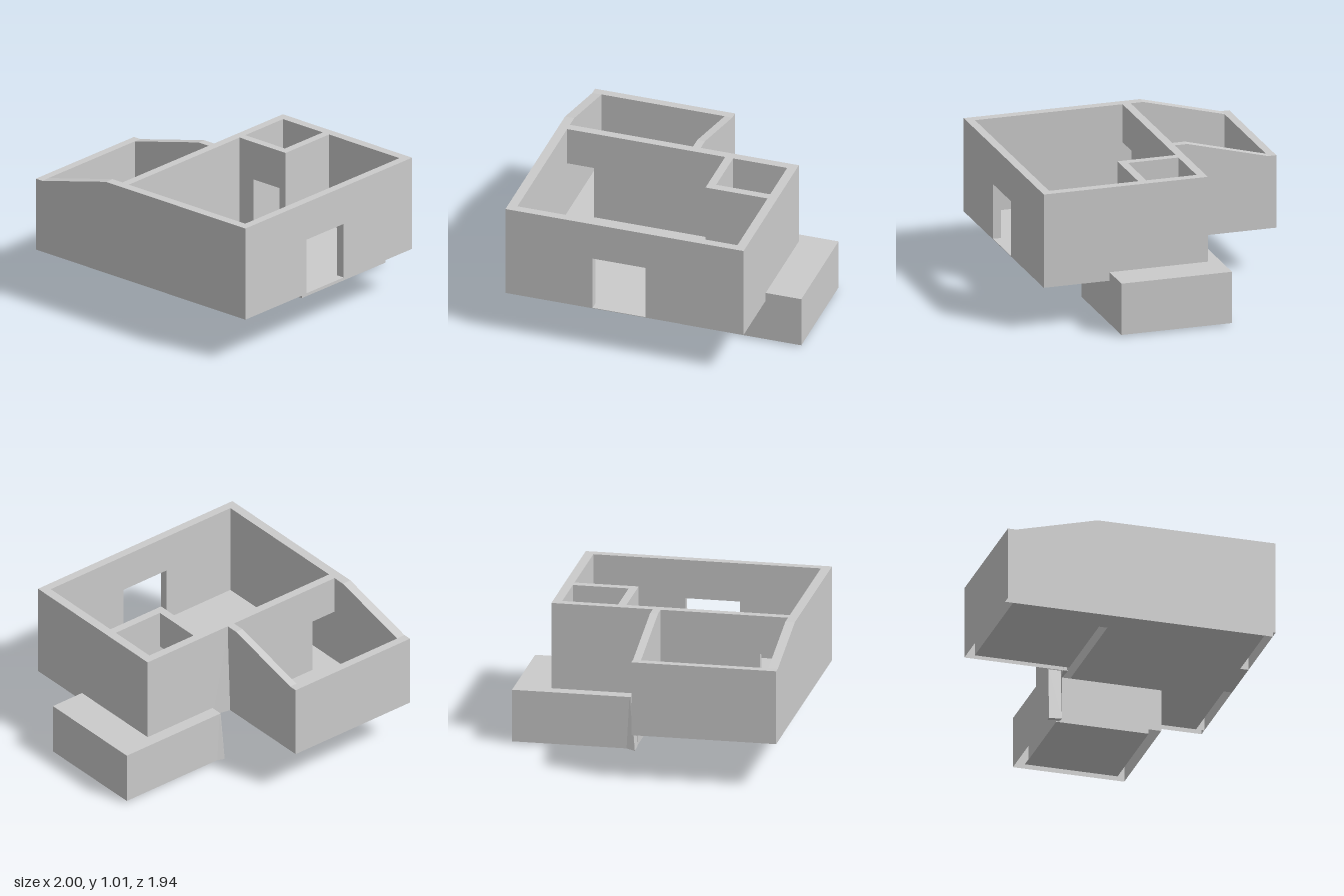
import * as THREE from 'three';
import { ConvexGeometry } from 'three/addons/geometries/ConvexGeometry.js';

const material = new THREE.MeshStandardMaterial({ color: 0xcccccc, flatShading: true, side: THREE.DoubleSide });

// Removes the underside, leaving a hollow wall that is open below
function openBottom(geometry) {
  const source = geometry.index ? geometry.toNonIndexed() : geometry;
  source.computeBoundingBox();
  const limit = source.boundingBox.min.y + 1e-4;
  const p = source.attributes.position;
  const kept = [];
  for (let i = 0; i < p.count; i += 3) {
    if (Math.max(p.getY(i), p.getY(i + 1), p.getY(i + 2)) < limit) continue;
    for (let k = i; k < i + 3; k++) kept.push(p.getX(k), p.getY(k), p.getZ(k));
  }
  const open = new THREE.BufferGeometry();
  open.setAttribute('position', new THREE.Float32BufferAttribute(kept, 3));
  open.computeVertexNormals();
  return open;
}

const extrude = (points, depth, holes = []) => {
  const toVectors = (list) => list.map(([a, b]) => new THREE.Vector2(a, b));
  const shape = new THREE.Shape(toVectors(points));
  holes.forEach((hole) => shape.holes.push(new THREE.Path(toVectors(hole))));
  return new THREE.ExtrudeGeometry(shape, { depth, bevelEnabled: false });
};
// Box given by its limits
const box = (x0, x1, y0, y1, z0, z1) => new THREE.BoxGeometry(x1 - x0, y1 - y0, z1 - z0)
  .translate((x0 + x1) / 2, (y0 + y1) / 2, (z0 + z1) / 2);
// Plan outline of [x, z] points, raised from y0 to y1
const plan = (points, y0, y1, holes = []) => {
  const flip = (list) => list.map(([x, z]) => [x, -z]);
  return extrude(flip(points), y1 - y0, holes.map(flip)).rotateX(-Math.PI / 2).translate(0, y0, 0);
};
// Elevation of [x, y] points, running from z0 to z1
const acrossZ = (points, z0, z1) => extrude(points, z1 - z0).translate(0, 0, z0);
// Side elevation of [z, y] points, running from x0 to x1
const acrossX = (points, x0, x1) =>
  extrude(points.map(([z, y]) => [-z, y]), x1 - x0).rotateY(Math.PI / 2).translate(x0, 0, 0);
const rect = (x0, x1, z0, z1) => [[x0, z0], [x1, z0], [x1, z1], [x0, z1]];
const hull = (points) => new ConvexGeometry(points.map((p) => new THREE.Vector3(...p)));

export function createModel() {
  const model = new THREE.Group();
  const add = (name, geometry) => {
    const mesh = new THREE.Mesh(geometry, material);
    mesh.name = name;
    model.add(mesh);
  };
  const addWall = (name, geometry) => add(name, openBottom(geometry));

  const base = 0.328, top = 1.01, low = 0.858, doorTop = 0.732;

  // Outer walls; the back room's side walls slope down to the rear
  const slope = [[-0.97, base], [-0.97, low], [-0.91, low], [-0.32, top]];
  addWall('rightWall', acrossX([...slope, [0.97, top], [0.97, base]], -1, -0.933));
  addWall('backRoomSideWall', acrossX([...slope, [-0.225, top], [-0.225, base]], -0.033, 0.023));
  addWall('backWall', box(-0.933, -0.033, base, low, -0.97, -0.912));
  addWall('leftWall', box(0.675, 0.74, base, top, -0.228, 0.97));

  // Front wall with doorway
  addWall('frontWall', acrossZ([
    [-0.933, base], [-0.363, base], [-0.363, doorTop], [0.025, doorTop],
    [0.025, base], [0.675, base], [0.675, top], [-0.933, top],
  ], 0.91, 0.97));

  // Wall between the rooms, with a passage at its end
  addWall('dividingWall', acrossZ([
    [-0.735, base], [0.675, base], [0.675, top], [-0.933, top], [-0.933, doorTop], [-0.735, doorTop],
  ], -0.228, -0.168));
  // Sliver that widens downwards in the corner behind the dividing wall
  add('wallJointWedge', hull([
    [0.02, base, -0.255], [0.16, base, -0.227], [0.02, base, -0.22], [0.02, top, -0.226],
  ]));

  // Stairwell enclosure with its doorway
  addWall('stairwellSideWall', acrossX([
    [-0.168, base], [-0.04, base], [-0.04, doorTop], [0.2, doorTop],
    [0.2, base], [0.258, base], [0.258, top], [-0.168, top],
  ], 0.222, 0.28));
  addWall('stairwellFrontWall', box(0.28, 0.675, base, top, 0.2, 0.258));

  // Ground floor through the passage and the front door, open over the stairs
  add('groundFloor', plan([
    [-0.933, -0.912], [-0.033, -0.912], [-0.033, -0.228], [-0.735, -0.228], [-0.735, -0.168],
    [0.675, -0.168], [0.675, 0.91], [0.025, 0.91], [0.025, 0.97], [-0.363, 0.97], [-0.363, 0.91],
    [-0.933, 0.91],
  ], base, base + 0.004, [rect(0.281, 0.674, -0.167, 0.2)]));

  // Basement shell, its floor and the roof outside the main walls
  const cellarTop = 0.325, roofTop = 0.39, back = -0.317;
  addWall('basementWalls', plan([
    [0.13, -0.23], [0.16, -0.23], [0.16, back], [1, back], [1, 0.49], [0.13, 0.49],
  ], 0.015, cellarTop, [rect(0.2, 0.93, -0.225, 0.42)]));
  add('basementFloor', box(0.2, 0.93, 0.015, 0.02, -0.25, 0.42));
  add('basementSideRoof', box(0.74, 1, cellarTop, roofTop, back, 0.49));
  add('basementBackRoof', box(0.16, 0.74, cellarTop, roofTop, back, -0.228));
  // Leaning pier at the basement's back corner
  add('basementCornerPier', hull([
    [0.13, 0.003, -0.325], [0.19, 0.015, back], [0.13, 0.01, -0.23], [0.17, 0.015, -0.23],
    [0.16, roofTop, back], [0.17, roofTop, back], [0.16, roofTop, -0.23], [0.17, roofTop, -0.23],
  ]));

  // Stairs down to the basement
  const steps = 7, tread = 0.295 / steps, rise = (base - 0.02) / (steps + 1);
  const profile = [[0.28, 0.02]];
  for (let i = 0; i < steps; i++) {
    const y = base - rise * (i + 1);
    profile.push([0.28 + i * tread, y], [0.28 + (i + 1) * tread, y]);
  }
  profile.push([0.575, 0.02]);
  add('stairs', acrossZ(profile, -0.04, 0.2));

  return model;
}
